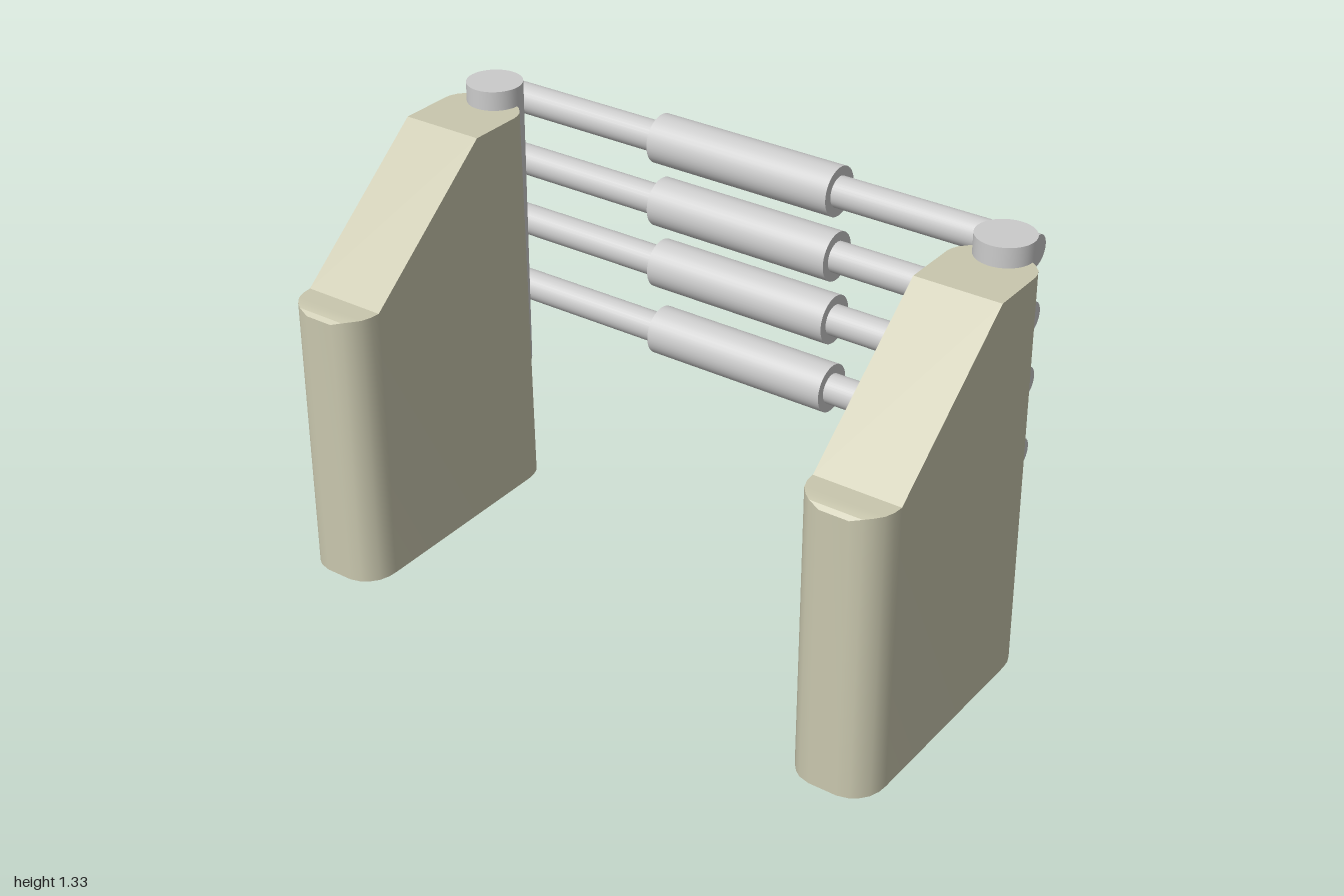
import * as THREE from 'three';
import { toCreasedNormals } from 'three/addons/utils/BufferGeometryUtils.js';

const metal = new THREE.MeshStandardMaterial({ color: 0xcccccc });
const stone = new THREE.MeshStandardMaterial({ color: 0xc9c7ae });

// Wall stations along x: [x at base, half width, top height, x at top]
const stations = [
  [-0.5, 0.045, 0.88, -0.5], [-0.49, 0.08, 0.892, -0.49], [-0.475, 0.1, 0.895, -0.475],
  [-0.45, 0.12, 0.895, -0.45], [-0.42, 0.13, 0.895, -0.42], [-0.39, 0.1325, 0.895, -0.39],
  [0.075, 0.1325, 1.27, 0.075], [0.26, 0.1325, 1.27, 0.25], [0.29, 0.129, 1.27, 0.27],
  [0.315, 0.12, 1.27, 0.29], [0.34, 0.1, 1.27, 0.312], [0.355, 0.08, 1.27, 0.326],
  [0.365, 0.045, 1.27, 0.335],
];

// Loft rectangular sections through the stations
function wallGeometry() {
  const pos = [];
  const rings = stations.map(([xb, w, h, xt]) => [[xb, 0, -w], [xt, h, -w], [xt, h, w], [xb, 0, w]]);
  const quad = (a, b, c, d) => pos.push(...a, ...b, ...c, ...a, ...c, ...d);
  for (let i = 0; i < rings.length - 1; i++) {
    const a = rings[i], b = rings[i + 1];
    for (let k = 0; k < 4; k++) {
      const n = (k + 1) % 4;
      quad(a[k], a[n], b[n], b[k]);
    }
  }
  quad(...rings[rings.length - 1]);
  quad(...[...rings[0]].reverse());
  const g = new THREE.BufferGeometry();
  g.setAttribute('position', new THREE.Float32BufferAttribute(pos, 3));
  return toCreasedNormals(g, 0.6);
}

function add(parent, name, geometry, material, x, y, z) {
  const mesh = new THREE.Mesh(geometry, material);
  mesh.name = name;
  mesh.position.set(x, y, z);
  parent.add(mesh);
  return mesh;
}

export function createModel() {
  const model = new THREE.Group();
  model.name = 'barrier';

  // Two end walls, each with a round post at its front edge
  const wall = wallGeometry();
  const post = new THREE.CylinderGeometry(0.086, 0.086, 0.95, 40);
  for (const [side, s] of [['left', 1], ['right', -1]]) {
    add(model, side + 'Wall', wall, stone, 0, 0, s * 0.8675);
    add(model, side + 'Post', post, metal, 0.324, 0.855, s * 0.868);
  }

  // Four rails, each carrying a thicker central sleeve
  const rail = new THREE.CylinderGeometry(0.047, 0.047, 1.86, 32).rotateX(Math.PI / 2);
  const sleeve = new THREE.CylinderGeometry(0.075, 0.075, 0.615, 40).rotateX(Math.PI / 2);
  [0.61, 0.84, 1.045, 1.25].forEach((y, i) => {
    add(model, 'rail' + (i + 1), rail, metal, 0.423, y, -0.015);
    add(model, 'sleeve' + (i + 1), sleeve, metal, 0.424, y, -0.0175);
  });
  return model;
}
